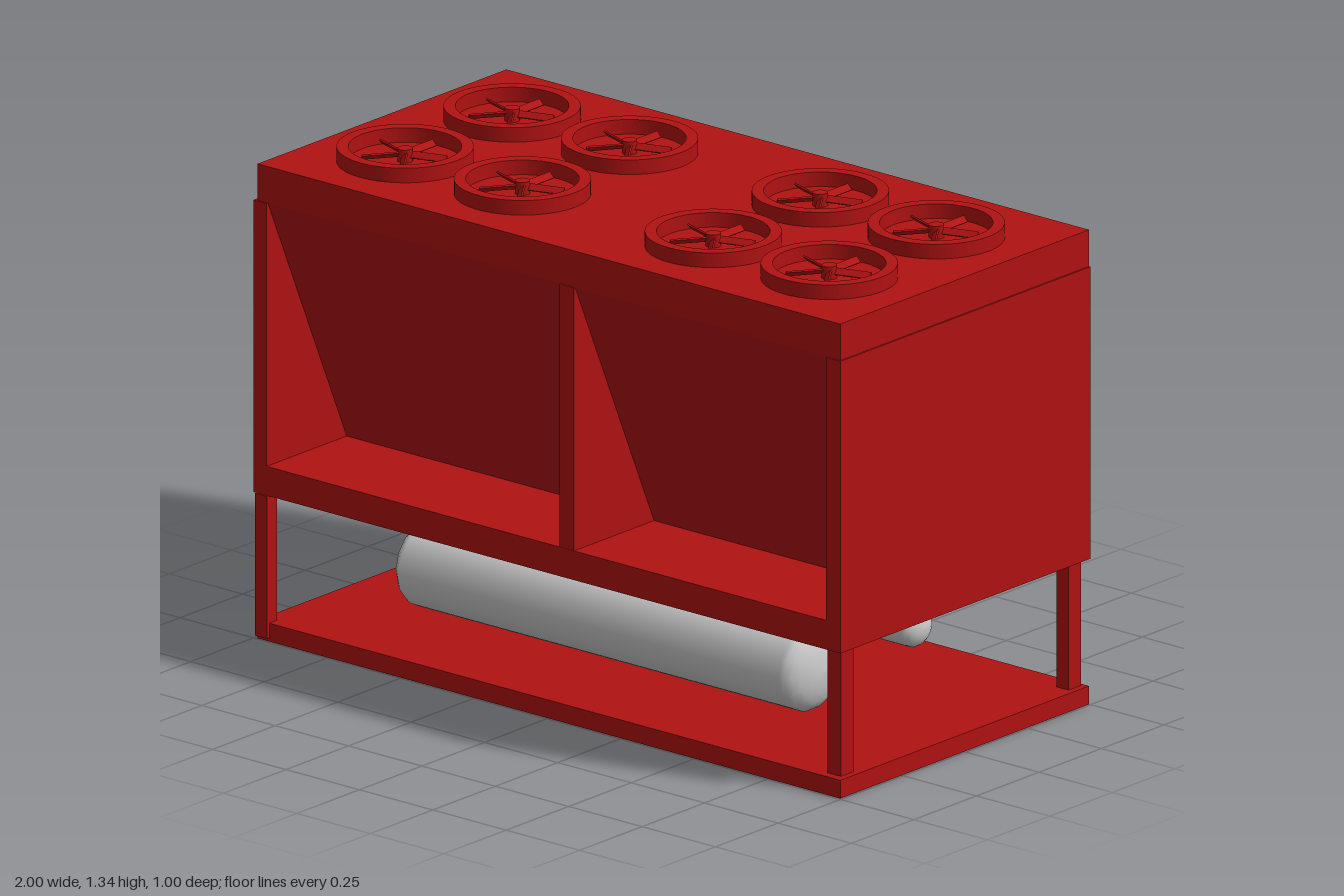
import * as THREE from 'three';
import { toCreasedNormals } from 'three/addons/utils/BufferGeometryUtils.js';

const red = new THREE.MeshStandardMaterial({ color: 0xb01212 });
const grey = new THREE.MeshStandardMaterial({ color: 0xcccccc });

function add(parent, name, geometry, material = red) {
  const mesh = new THREE.Mesh(geometry, material);
  mesh.name = name;
  parent.add(mesh);
  return mesh;
}

// Box given by its extents along each axis
function block(parent, name, [x0, x1], [y0, y1], [z0, z1]) {
  const mesh = add(parent, name, new THREE.BoxGeometry(x1 - x0, y1 - y0, z1 - z0));
  mesh.position.set((x0 + x1) / 2, (y0 + y1) / 2, (z0 + z1) / 2);
  return mesh;
}

// Horizontal tank along x with domed ends
function tank(parent, name, x0, x1, y, z, radius, dome, sides) {
  const half = (x1 - x0) / 2;
  const profile = [];
  const steps = 6;
  for (let i = 0; i <= steps; i++) {
    const a = (i / steps) * Math.PI / 2;
    profile.push(new THREE.Vector2(radius * Math.sin(a), -half + dome * (1 - Math.cos(a))));
  }
  for (let i = steps; i >= 0; i--) profile.push(new THREE.Vector2(profile[i].x, -profile[i].y));
  const geometry = new THREE.LatheGeometry(profile, sides);
  geometry.rotateZ(Math.PI / 2);
  add(parent, name, geometry, grey).position.set((x0 + x1) / 2, y, z);
}

function createFan() {
  const fan = new THREE.Group();
  fan.name = 'fan';

  // Shroud ring
  const ring = new THREE.Shape().absarc(0, 0, 0.178, 0, Math.PI * 2, false);
  ring.holes.push(new THREE.Path().absarc(0, 0, 0.147, 0, Math.PI * 2, true));
  const shroud = new THREE.ExtrudeGeometry(ring, { depth: 0.04, bevelEnabled: false, curveSegments: 40 });
  shroud.rotateX(-Math.PI / 2);
  add(fan, 'fanShroud', toCreasedNormals(shroud, 0.6));

  // Hub and five pitched blades
  add(fan, 'fanHub', new THREE.CylinderGeometry(0.02, 0.02, 0.035, 16)).position.y = 0.0175;
  for (let i = 0; i < 5; i++) {
    const blade = new THREE.BoxGeometry(0.1, 0.005, 0.02);
    blade.rotateX(0.8);
    blade.translate(0.066, 0.019, 0);
    blade.rotateY(Math.PI / 2 + (i * Math.PI * 2) / 5);
    add(fan, 'fanBlade', blade);
  }
  return fan;
}

export function createModel() {
  const model = new THREE.Group();
  model.name = 'airCooledChiller';

  // Base plate and corner posts
  block(model, 'basePlate', [-0.99, 0.995], [0, 0.05], [-0.5, 0.495]);
  block(model, 'frontRightPost', [-0.99, -0.95], [0.01, 0.4], [0.465, 0.505]);
  block(model, 'frontLeftPost', [0.93, 0.976], [0.05, 0.4], [0.42, 0.47]);
  block(model, 'backRightPost', [-0.99, -0.95], [0.05, 0.4], [-0.49, -0.44]);
  block(model, 'backLeftPost', [0.935, 0.976], [0.05, 0.4], [-0.49, -0.44]);

  // Core with sloping coil faces front and back, and a sill beneath them
  const half = [[0.5, 0.4], [0.5, 0.48], [0.18, 0.48], [0.495, 1.2]];
  const outline = [...half, ...half.map(([z, y]) => [-z, y]).reverse()];
  const section = new THREE.Shape(outline.map(([z, y]) => new THREE.Vector2(-z, y)));
  const core = new THREE.ExtrudeGeometry(section, { depth: 1.96, bevelEnabled: false });
  core.rotateY(Math.PI / 2);
  core.translate(-0.98, 0, 0);
  add(model, 'coilCore', core);

  // End panels, divider and roof
  block(model, 'rightEndPanel', [-1, -0.955], [0.4, 1.2], [-0.5, 0.5]);
  block(model, 'leftEndPanel', [0.95, 1], [0.4, 1.2], [-0.5, 0.5]);
  block(model, 'divider', [0.042, 0.092], [0.45, 1.2], [-0.499, 0.499]);
  block(model, 'roof', [-0.99, 0.995], [1.2, 1.3], [-0.5, 0.495]);

  // Eight roof fans in two rows
  for (const x of [-0.715, -0.315, 0.335, 0.73]) {
    for (const z of [-0.2, 0.228]) {
      const fan = createFan();
      fan.position.set(x, 1.3, z);
      model.add(fan);
    }
  }

  // Large tank at the front, two small ones at the back
  tank(model, 'evaporatorTank', -0.712, 0.692, 0.204, 0.2, 0.118, 0.057, 14);
  tank(model, 'compressorTank', 0.06, 0.665, 0.204, -0.232, 0.058, 0.04, 14);
  tank(model, 'compressorTank', -0.655, -0.04, 0.204, -0.232, 0.058, 0.04, 14);

  return model;
}
